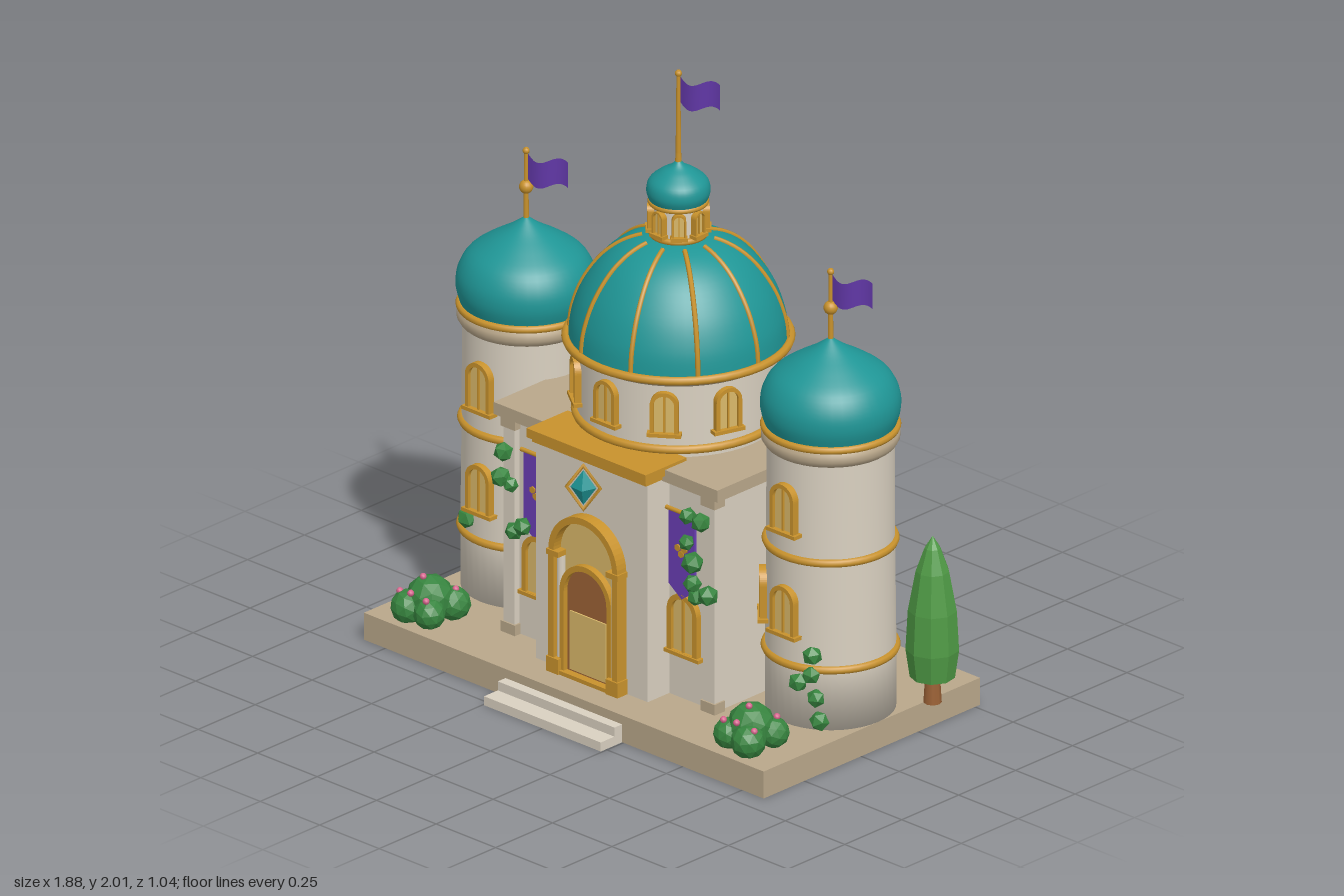
import * as THREE from 'three';

const mat = (name, color, extra = {}) => Object.assign(new THREE.MeshStandardMaterial({ color, ...extra }), { name });
const M = {
  cream: mat('cream plaster', 0xd9d0c0),
  stone: mat('tan stone', 0xb9a78a),
  gold: mat('gold', 0xc8922c),
  teal: mat('teal tile', 0x1f9696, { side: THREE.DoubleSide }),
  purple: mat('purple cloth', 0x6a3db5, { side: THREE.DoubleSide }),
  cypress: mat('cypress green', 0x4f9a45, { flatShading: true }),
  ivy: mat('ivy green', 0x37853f, { flatShading: true }),
  wood: mat('wood', 0x9c6236),
  pane: mat('warm pane', 0xd9b869),
  pink: mat('pink blossom', 0xd8668f),
};
const CZ = -0.075; // shared depth of the towers and the main dome

function add(parent, name, geo, material, x = 0, y = 0, z = 0) {
  const m = new THREE.Mesh(geo, material);
  m.name = name;
  m.position.set(x, y, z);
  parent.add(m);
  return m;
}
function group(parent, name, x = 0, y = 0, z = 0) {
  const g = new THREE.Group();
  g.name = name;
  g.position.set(x, y, z);
  parent.add(g);
  return g;
}
// box given by its minimum and maximum corners
function block(parent, name, material, x0, x1, y0, y1, z0, z1) {
  return add(parent, name, new THREE.BoxGeometry(x1 - x0, y1 - y0, z1 - z0), material, (x0 + x1) / 2, (y0 + y1) / 2, (z0 + z1) / 2);
}
const lathe = (pts, seg = 40) => new THREE.LatheGeometry(pts.map(p => new THREE.Vector2(...p)), seg);
function ring(parent, name, r, tube, y, material = M.gold) {
  add(parent, name, new THREE.TorusGeometry(r, tube, 8, 48), material, 0, y, 0).rotation.x = Math.PI / 2;
}
// smooth curve through a few radius/height points
const smooth = pts => new THREE.SplineCurve(pts.map(p => new THREE.Vector2(...p))).getPoints(24).map(p => [Math.max(p.x, 0), p.y]);

// round-headed opening standing on y = 0
function arch(path, w, h, y0 = 0) {
  const r = w / 2;
  path.moveTo(-r, y0);
  path.lineTo(r, y0);
  path.lineTo(r, h - r);
  path.absarc(0, h - r, r, 0, Math.PI, false);
  path.lineTo(-r, y0);
  return path;
}
const extrude = (s, depth) => new THREE.ExtrudeGeometry(s, { depth, bevelEnabled: false, curveSegments: 14 });
function archFrame(w, h, t, depth) {
  const s = arch(new THREE.Shape(), w, h);
  s.holes.push(arch(new THREE.Path(), w - 2 * t, h - t, t * 0.6));
  return extrude(s, depth);
}
function archWindow(parent, w, h, x, y, z, turn = 0) {
  const g = group(parent, 'window', x, y, z);
  g.rotation.y = turn;
  add(g, 'windowFrame', archFrame(w, h, w * 0.14, 0.024), M.gold, 0, 0, -0.006);
  add(g, 'windowPane', extrude(arch(new THREE.Shape(), w * 0.8, h * 0.94, 0.004), 0.009), M.pane, 0, 0, -0.002);
  add(g, 'windowBar', new THREE.BoxGeometry(w * 0.07, h * 0.85, 0.01), M.gold, 0, h * 0.47, 0.008);
  add(g, 'windowSill', new THREE.BoxGeometry(w * 1.2, 0.012, 0.035), M.gold, 0, 0.004, 0.006);
}
// window on a round wall of radius r
const roundWindow = (p, w, h, r, y, a) => archWindow(p, w, h, Math.sin(a) * r, y, Math.cos(a) * r, a);

function flagPole(parent, y0, y1) {
  const g = group(parent, 'flagPole');
  add(g, 'pole', new THREE.CylinderGeometry(0.006, 0.009, y1 - y0, 10), M.gold, 0, (y0 + y1) / 2, 0);
  add(g, 'poleTip', new THREE.SphereGeometry(0.011, 12, 8), M.gold, 0, y1 - 0.01, 0);
  const cloth = new THREE.PlaneGeometry(0.16, 0.085, 16, 1);
  const p = cloth.attributes.position;
  for (let i = 0; i < p.count; i++) {
    const u = p.getX(i) / 0.16 + 0.5;
    p.setY(i, p.getY(i) - 0.016 * Math.sin(u * 5.6) + 0.008 * u);
    p.setZ(i, 0.008 * Math.sin(u * 5));
  }
  cloth.computeVertexNormals();
  add(g, 'flag', cloth, M.purple, 0.088, y1 - 0.06, 0);
  return g;
}

function tower(parent, side) {
  const g = group(parent, side > 0 ? 'leftTower' : 'rightTower', side * 0.64, 0, CZ);
  add(g, 'towerWall', lathe([[0, 0.09], [0.2, 0.09], [0.2, 0.29], [0.196, 0.64], [0.195, 1.0]]), M.cream);
  ring(g, 'lowerBand', 0.2, 0.013, 0.29);
  ring(g, 'upperBand', 0.197, 0.013, 0.645);
  add(g, 'cornice', lathe([[0.19, 0.96], [0.203, 0.97], [0.212, 0.985], [0.212, 1.005], [0.2, 1.02]]), M.stone);
  ring(g, 'domeBand', 0.203, 0.012, 1.024);
  add(g, 'towerDome', lathe(smooth([[0.2, 1.03], [0.214, 1.08], [0.21, 1.135], [0.18, 1.19], [0.12, 1.235], [0.055, 1.275], [0, 1.315]])), M.teal);
  flagPole(g, 1.29, 1.54);
  add(g, 'finialBall', new THREE.SphereGeometry(0.022, 16, 12), M.gold, 0, 1.41, 0);
  for (const y of [0.385, 0.725]) roundWindow(g, 0.1, 0.165, 0.199, y, 0);
  roundWindow(g, 0.1, 0.165, 0.199, 0.385, -side * 0.8);
}

function mainDome(parent) {
  const g = group(parent, 'mainDome', 0, 0, CZ);
  add(g, 'drum', new THREE.CylinderGeometry(0.31, 0.31, 0.28, 48), M.cream, 0, 0.98, 0);
  ring(g, 'drumBand', 0.313, 0.014, 0.876);
  ring(g, 'domeBand', 0.342, 0.014, 1.118);
  add(g, 'drumCornice', new THREE.CylinderGeometry(0.34, 0.315, 0.025, 48), M.stone, 0, 1.1, 0);
  for (let i = -2; i <= 2; i++) roundWindow(g, 0.088, 0.145, 0.31, 0.925, i * Math.PI / 5);
  const profile = smooth([[0.335, 1.12], [0.325, 1.2], [0.288, 1.295], [0.22, 1.385], [0.13, 1.44], [0, 1.465]]);
  add(g, 'domeShell', lathe(profile, 60), M.teal);
  // ten ribs following the shell
  const curve = new THREE.CatmullRomCurve3(profile.slice(0, -4).map(p => new THREE.Vector3(p[0], p[1], 0)));
  const rib = new THREE.TubeGeometry(curve, 20, 0.008, 6);
  for (let i = 0; i < 10; i++) add(g, 'domeRib', rib, M.gold).rotation.y = i * Math.PI / 5;
  // lantern
  add(g, 'lanternWall', new THREE.CylinderGeometry(0.077, 0.077, 0.12, 32), M.cream, 0, 1.505, 0);
  ring(g, 'lanternLowerBand', 0.082, 0.01, 1.462);
  ring(g, 'lanternUpperBand', 0.085, 0.009, 1.567);
  for (let i = 0; i < 8; i++) roundWindow(g, 0.044, 0.085, 0.077, 1.472, i * Math.PI / 4);
  add(g, 'lanternDome', lathe(smooth([[0.088, 1.57], [0.098, 1.6], [0.09, 1.635], [0.055, 1.665], [0.022, 1.685], [0, 1.71]]), 32), M.teal);
  add(g, 'poleSocket', new THREE.CylinderGeometry(0.007, 0.011, 0.07, 10), M.gold, 0, 1.72, 0);
  flagPole(g, 1.69, 2.0);
}

function portal(parent) {
  const g = group(parent, 'portal');
  block(g, 'portalBlock', M.cream, -0.235, 0.235, 0.09, 0.83, 0.15, 0.305);
  block(g, 'portalCornice', M.gold, -0.25, 0.25, 0.83, 0.86, 0.15, 0.33);
  block(g, 'portalCorniceLip', M.gold, -0.24, 0.24, 0.815, 0.83, 0.2, 0.318);
  const z = 0.305;
  add(g, 'outerArch', archFrame(0.29, 0.55, 0.022, 0.04), M.gold, 0, 0.09, z);
  add(g, 'archPanel', extrude(arch(new THREE.Shape(), 0.25, 0.53), 0.008), M.pane, 0, 0.09, z);
  for (const s of [-1, 1]) {
    add(g, 'archColumn', new THREE.CylinderGeometry(0.014, 0.014, 0.4, 12), M.cream, s * 0.115, 0.29, z + 0.014);
    block(g, 'archCapital', M.gold, s * 0.125 - 0.025, s * 0.125 + 0.025, 0.48, 0.498, z, z + 0.045);
    block(g, 'columnFoot', M.gold, s * 0.125 - 0.025, s * 0.125 + 0.025, 0.09, 0.14, z, z + 0.045);
  }
  add(g, 'doorArch', archFrame(0.215, 0.385, 0.018, 0.03), M.gold, 0, 0.09, z);
  add(g, 'door', extrude(arch(new THREE.Shape(), 0.18, 0.37), 0.014), M.wood, 0, 0.09, z);
  block(g, 'doorPanel', M.pane, -0.075, 0.075, 0.11, 0.305, z + 0.012, z + 0.019);
  // hanging gem in a turned diamond frame
  const gem = group(g, 'gemOrnament', 0, 0.745, 0.342);
  gem.rotation.y = 0.6;
  add(gem, 'gem', new THREE.OctahedronGeometry(0.04), M.teal).scale.set(1, 1.45, 0.8);
  add(gem, 'gemFrame', new THREE.TorusGeometry(0.052, 0.006, 6, 4), M.gold).scale.y = 1.4;
}

// banner, window and pilasters of one half of the front wall
function wing(parent, s) {
  const g = group(parent, 'frontWing', s * 0.305, 0, 0.21);
  archWindow(g, 0.125, 0.205, 0, 0.24, 0.002);
  const cloth = new THREE.Shape();
  [[-0.055, 0.715], [-0.055, 0.47], [0, 0.43], [0.055, 0.47], [0.055, 0.715]].forEach(([x, y], i) => i ? cloth.lineTo(x, y) : cloth.moveTo(x, y));
  add(g, 'banner', extrude(cloth, 0.008), M.purple, 0, 0, 0.012);
  add(g, 'bannerRod', new THREE.CylinderGeometry(0.007, 0.007, 0.135, 10), M.gold, 0, 0.718, 0.016).rotation.z = Math.PI / 2;
  for (const [x, y] of [[-0.014, 0.6], [0.014, 0.6], [0, 0.582]])
    add(g, 'bannerEmblem', new THREE.CylinderGeometry(0.012, 0.012, 0.006, 6), M.gold, x, y, 0.022).rotation.x = Math.PI / 2;
  const px = s * 0.115;
  block(g, 'pilaster', M.cream, px - 0.024, px + 0.024, 0.09, 0.81, -0.02, 0.02);
  block(g, 'pilasterCap', M.stone, px - 0.03, px + 0.03, 0.775, 0.81, -0.02, 0.026);
  block(g, 'pilasterFoot', M.stone, px - 0.03, px + 0.03, 0.09, 0.125, -0.02, 0.026);
}

function planting(parent) {
  const leaf = (g, r, x, y, z) => {
    const m = add(g, 'leafClump', new THREE.IcosahedronGeometry(r, r > 0.04 ? 1 : 0), M.ivy, x, y, z);
    m.rotation.set(x * 9, y * 13, z * 7);
  };
  for (const s of [-1, 1]) {
    const tree = group(parent, 'cypress', s * 0.858, 0, -0.295);
    add(tree, 'trunk', new THREE.CylinderGeometry(0.022, 0.028, 0.1, 8), M.wood, 0, 0.14, 0);
    add(tree, 'foliage', lathe([[0, 0.17], [0.07, 0.178], [0.083, 0.27], [0.076, 0.4], [0.052, 0.53], [0.025, 0.605], [0, 0.645]], 9), M.cypress);

    const bush = group(parent, 'bush', s * 0.675, 0.09, 0.31);
    for (const [r, x, y, z] of [[0.075, 0, 0.065, 0], [0.055, -0.05, 0.045, -0.05], [0.05, 0.055, 0.045, -0.04], [0.055, 0.04, 0.04, 0.055], [0.05, -0.045, 0.04, 0.05]])
      leaf(bush, r, x * s, y, z);
    for (const [x, y, z] of [[0.01, 0.138, 0.02], [0.07, 0.085, 0.06], [-0.05, 0.09, 0.07], [-0.06, 0.095, -0.05], [0.06, 0.095, -0.05], [0.01, 0.1, 0.075]])
      add(bush, 'blossom', new THREE.SphereGeometry(0.011, 8, 6), M.pink, x * s, y, z);
  }
  const ivy = group(parent, 'ivy');
  for (const [r, x, y, z] of [
    [0.032, -0.425, 0.7, 0.25], [0.034, -0.44, 0.61, 0.245], [0.026, -0.395, 0.6, 0.25], [0.03, -0.345, 0.475, 0.25], [0.03, -0.38, 0.45, 0.25],
    [0.028, 0.35, 0.73, 0.25], [0.032, 0.405, 0.725, 0.25], [0.026, 0.345, 0.64, 0.25], [0.036, 0.37, 0.58, 0.25], [0.03, 0.37, 0.51, 0.25], [0.034, 0.435, 0.49, 0.25], [0.028, 0.385, 0.47, 0.25],
    [0.034, -0.7, 0.35, 0.12], [0.032, 0.74, 0.34, 0.11], [0.03, 0.735, 0.275, 0.11], [0.032, 0.69, 0.24, 0.12], [0.03, 0.75, 0.2, 0.105], [0.032, 0.76, 0.125, 0.1],
  ]) leaf(ivy, r, x, y, z);
}

export function createModel() {
  const model = new THREE.Group();
  model.name = 'domedPalace';
  // terrace and steps
  block(model, 'terrace', M.stone, -0.84, 0.84, 0, 0.09, -0.522, 0.428);
  block(model, 'lowerStep', M.cream, -0.245, 0.245, 0, 0.03, 0.42, 0.522);
  block(model, 'upperStep', M.cream, -0.245, 0.245, 0.03, 0.06, 0.42, 0.462);
  // hall
  block(model, 'hall', M.cream, -0.435, 0.435, 0.09, 0.81, -0.365, 0.21);
  block(model, 'hallRoof', M.stone, -0.47, 0.47, 0.81, 0.85, -0.4, 0.245);
  portal(model);
  mainDome(model);
  for (const s of [-1, 1]) {
    wing(model, s);
    tower(model, s);
  }
  planting(model);
  return model;
}
